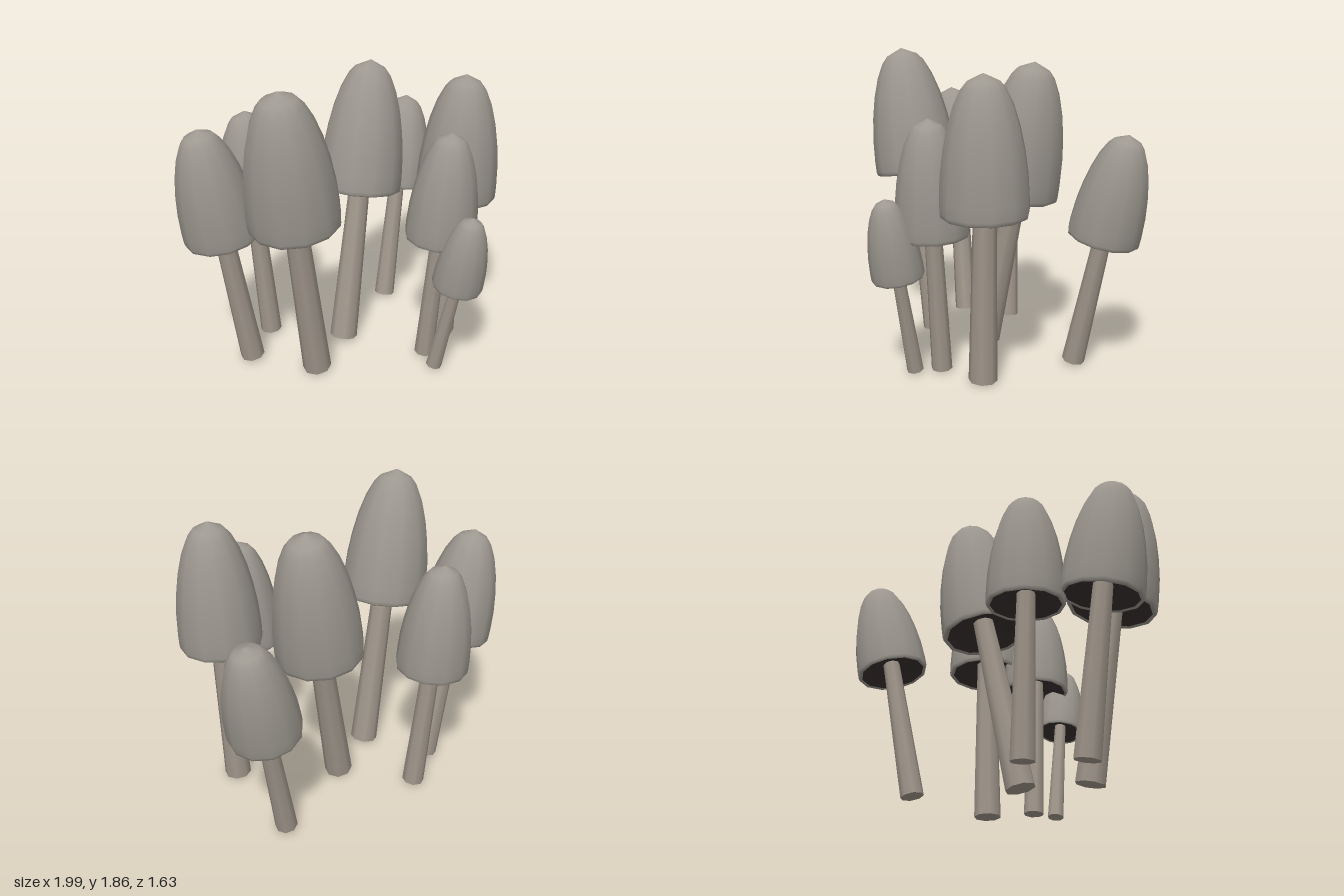
import * as THREE from 'three';

// Each mushroom: stem base, centre of the cap rim, cap tip, cap radius, stem radii (bottom, top)
const MUSHROOMS = [
  { base: [-0.41, 0.015, -0.015], rim: [-0.575, 1.055, 0.01], tip: [-0.7, 1.855, 0.045], cap: 0.27, stem: [0.088, 0.066] },
  { base: [-0.6, 0.015, -0.41], rim: [-0.735, 0.885, -0.445], tip: [-0.85, 1.57, -0.47], cap: 0.232, stem: [0.075, 0.057] },
  { base: [-0.31, 0.015, -0.56], rim: [-0.357, 0.865, -0.605], tip: [-0.375, 1.535, -0.635], cap: 0.218, stem: [0.068, 0.052] },
  { base: [-0.04, 0.015, -0.145], rim: [0.175, 0.995, -0.2], tip: [0.31, 1.795, -0.225], cap: 0.265, stem: [0.088, 0.064] },
  { base: [0.465, 0.01, 0.28], rim: [0.51, 0.985, 0.307], tip: [0.535, 1.76, 0.34], cap: 0.25, stem: [0.084, 0.064] },
  { base: [0.18, 0.01, 0.365], rim: [0.203, 0.835, 0.435], tip: [0.225, 1.505, 0.485], cap: 0.212, stem: [0.062, 0.05] },
  { base: [0.105, 0.01, 0.505], rim: [0.134, 0.605, 0.63], tip: [0.14, 1.07, 0.72], cap: 0.152, stem: [0.05, 0.036] },
  { base: [0.575, 0.015, -0.33], rim: [0.745, 0.8, -0.375], tip: [0.885, 1.41, -0.415], cap: 0.212, stem: [0.068, 0.05] },
];

// Profiles as [share of radius, share of cap height]
const CAP = [[0.9, 0.012], [0.95, 0], [0.985, 0.008], [1, 0.035], [1, 0.12], [0.97, 0.3], [0.9, 0.47],
  [0.8, 0.63], [0.66, 0.78], [0.5, 0.89], [0.36, 0.945], [0, 1]];
const GILLS = [[0.12, 0.12], [0.55, 0.08], [0.9, 0.012]];
const UP = new THREE.Vector3(0, 1, 0);

function lathe(profile, radius, height, sides) {
  return new THREE.LatheGeometry(profile.map(([r, t]) => new THREE.Vector2(r * radius, t * height)), sides);
}

// Stands a group at a point with its y axis aimed along a direction
function aim(object, from, direction) {
  object.position.copy(from);
  object.quaternion.setFromUnitVectors(UP, direction.clone().normalize());
}

export function createModel() {
  const capColor = new THREE.MeshStandardMaterial({ color: 0x9c978f });
  capColor.name = 'cap grey';
  const stemColor = new THREE.MeshStandardMaterial({ color: 0xa1978c });
  stemColor.name = 'stem beige';
  const gillColor = new THREE.MeshStandardMaterial({ color: 0x3a3030 });
  gillColor.name = 'gill dark brown';

  const model = new THREE.Group();
  model.name = 'mushroomCluster';

  MUSHROOMS.forEach((m, i) => {
    const [base, rim, tip] = [m.base, m.rim, m.tip].map((p) => new THREE.Vector3(...p));
    const mushroom = new THREE.Group();
    mushroom.name = `mushroom${i + 1}`;

    // Tapered stem, running a little way into the cap
    const stemAxis = rim.clone().sub(base);
    const length = stemAxis.length() + m.cap * 0.4;
    const stemGeometry = new THREE.CylinderGeometry(m.stem[1], m.stem[0], length, 8);
    stemGeometry.translate(0, length / 2, 0);
    const stem = new THREE.Mesh(stemGeometry, stemColor);
    stem.name = 'stem';
    aim(stem, base, stemAxis);

    // Bell-shaped cap with a rounded lip and a shallow hollow beneath
    const capAxis = tip.clone().sub(rim);
    const head = new THREE.Group();
    head.name = 'head';
    const cap = new THREE.Mesh(lathe(CAP, m.cap, capAxis.length(), 12), capColor);
    cap.name = 'cap';
    const gills = new THREE.Mesh(lathe(GILLS, m.cap, capAxis.length(), 12), gillColor);
    gills.name = 'gills';
    head.add(cap, gills);
    aim(head, rim, capAxis);

    mushroom.add(stem, head);
    model.add(mushroom);
  });
  return model;
}
